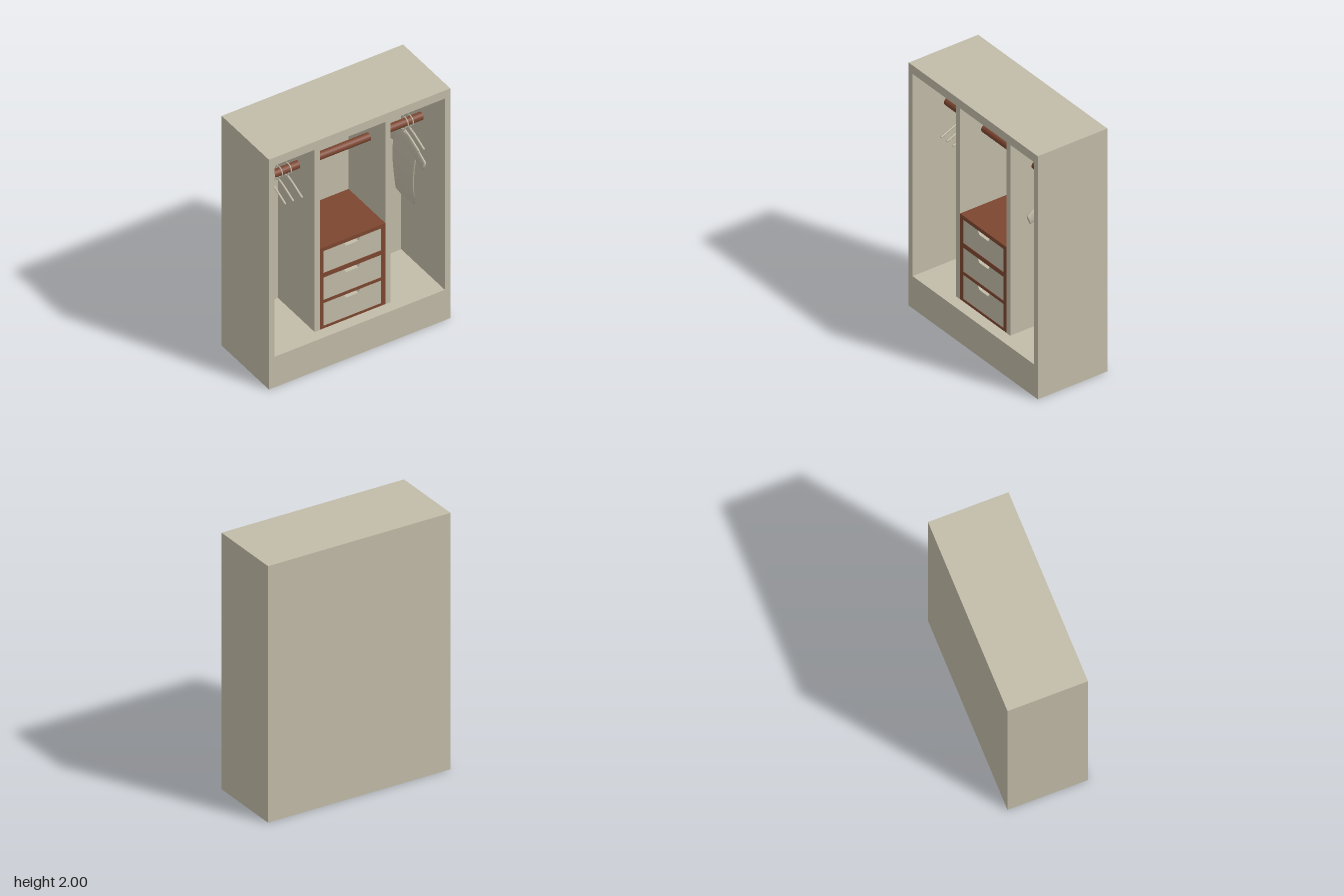
import * as THREE from 'three';

const paint = new THREE.MeshStandardMaterial({ color: 0xc2bba8 });
paint.name = 'beige paint';
const wood = new THREE.MeshStandardMaterial({ color: 0x7d4630 });
wood.name = 'brown wood';
const fabric = new THREE.MeshStandardMaterial({ color: 0xc2bba8, side: THREE.DoubleSide });
fabric.name = 'beige fabric';

function add(parent, name, geometry, material, x = 0, y = 0, z = 0) {
  const mesh = new THREE.Mesh(geometry, material);
  mesh.name = name;
  mesh.position.set(x, y, z);
  parent.add(mesh);
  return mesh;
}

// Box given by its two corners
function block(parent, name, material, x0, x1, y0, y1, z0, z1) {
  return add(parent, name, new THREE.BoxGeometry(x1 - x0, y1 - y0, z1 - z0), material,
    (x0 + x1) / 2, (y0 + y1) / 2, (z0 + z1) / 2);
}

const polygon = (...points) => points.map(([x, y]) => new THREE.Vector2(x, y));
const rect = (x0, x1, y0, y1) => polygon([x0, y0], [x1, y0], [x1, y1], [x0, y1]);

// Plate with openings, extruded from z0 to z1
function plate(parent, name, material, outline, holes, z0, z1) {
  const shape = new THREE.Shape(outline);
  holes.forEach(h => shape.holes.push(new THREE.Path(h)));
  const geometry = new THREE.ExtrudeGeometry(shape, { depth: z1 - z0, bevelEnabled: false });
  return add(parent, name, geometry, material, 0, 0, z0);
}

// Skin over a row of equally divided rings
function loft(rings) {
  const n = rings[0].length, index = [];
  for (let i = 0; i < rings.length - 1; i++) {
    for (let j = 0; j < n; j++) {
      const a = i * n + j, b = i * n + (j + 1) % n;
      index.push(a, b, a + n, b, b + n, a + n);
    }
  }
  const geometry = new THREE.BufferGeometry().setFromPoints(rings.flat());
  geometry.setIndex(index);
  geometry.computeVertexNormals();
  return geometry;
}

function ring(pointAt, n = 16) {
  return Array.from({ length: n }, (_, i) => {
    const a = i / n * Math.PI * 2;
    return pointAt(Math.cos(a), Math.sin(a));
  });
}

// Hanger in the y-z plane, hooked over the rod
function hanger(parent, x) {
  const group = new THREE.Group();
  group.name = 'hanger';
  group.position.set(x, 1.59, 0);
  parent.add(group);
  const hook = [];
  for (let i = 0; i <= 10; i++) {
    const a = Math.PI * (1.1 - 1.6 * i / 10);
    hook.push(new THREE.Vector3(0, 0.043 * Math.sin(a), 0.043 * Math.cos(a)));
  }
  hook.push(new THREE.Vector3(0, -0.075, 0));
  add(group, 'hook', new THREE.TubeGeometry(new THREE.CatmullRomCurve3(hook), 32, 0.005, 6), paint);
  for (const s of [-1, 1]) {
    const arm = new THREE.CatmullRomCurve3([
      new THREE.Vector3(0, -0.07, 0),
      new THREE.Vector3(0, -0.085, s * 0.05),
      new THREE.Vector3(0, -0.14, s * 0.175)]);
    add(group, 'arm', new THREE.TubeGeometry(arm, 12, 0.008, 8), paint);
    add(group, 'armTip', new THREE.SphereGeometry(0.008, 8, 6), paint, 0, -0.14, s * 0.175);
  }
}

// Short-sleeved shirt hanging edge-on to the front
function shirt(parent) {
  const group = new THREE.Group();
  group.name = 'shirt';
  parent.add(group);
  // y, x, half width, half thickness
  const rows = [
    [1.5, 0.572, 0.001, 0.001], [1.5, 0.572, 0.06, 0.008], [1.46, 0.573, 0.13, 0.014],
    [1.38, 0.568, 0.15, 0.016], [1.28, 0.56, 0.14, 0.015], [1.18, 0.556, 0.135, 0.012],
    [1.08, 0.561, 0.13, 0.013], [0.95, 0.573, 0.125, 0.014], [0.95, 0.573, 0.001, 0.001]];
  add(group, 'shirtBody', loft(rows.map(([y, x, w, t]) =>
    ring((c, s) => new THREE.Vector3(x + t * c, y, w * s)))), fabric);
  // z, y, half height, half thickness
  const sleeve = [[0.08, 1.43, 0.055, 0.012], [0.15, 1.405, 0.055, 0.014],
    [0.245, 1.365, 0.04, 0.015], [0.245, 1.365, 0.001, 0.001]];
  for (const side of [-1, 1]) {
    add(group, 'sleeve', loft(sleeve.map(([z, y, h, t]) =>
      ring((c, s) => new THREE.Vector3(0.57 + t * c, y + h * s, side * (z + 0.3 * h * s))))), fabric);
  }
}

export function createModel() {
  const model = new THREE.Group();
  model.name = 'wardrobe';

  // Carcass with plinth, back and dividers
  plate(model, 'carcass', paint, rect(-0.75, 0.75, 0, 2), [rect(-0.705, 0.705, 0.265, 1.93)], -0.255, 0.3);
  block(model, 'backPanel', paint, -0.75, 0.75, 0, 2, -0.3, -0.255);
  block(model, 'rightDivider', paint, -0.315, -0.272, 0.265, 1.93, -0.255, 0.213);
  block(model, 'leftDivider', paint, 0.27, 0.313, 0.265, 1.93, -0.255, 0.213);

  // Hanging rods, one per bay
  for (const [x0, x1] of [[-0.705, -0.315], [-0.272, 0.27], [0.313, 0.705]]) {
    const rod = add(model, 'rod', new THREE.CylinderGeometry(0.03, 0.03, x1 - x0, 24), wood, (x0 + x1) / 2, 1.59, 0);
    rod.rotation.z = Math.PI / 2;
  }

  // Drawer cabinet
  const drawers = [[0.285, 0.485], [0.51, 0.708], [0.745, 0.938]];
  plate(model, 'drawerCabinet', wood, rect(-0.272, 0.27, 0.265, 0.97),
    drawers.map(([y0, y1]) => rect(-0.24, 0.236, y0, y1)), -0.255, 0.212);
  for (const [y0, y1] of drawers) {
    // Front with a finger notch in its upper edge
    plate(model, 'drawerFront', paint, polygon([-0.24, y0], [0.236, y0], [0.236, y1], [0.07, y1],
      [0.05, y1 - 0.033], [-0.052, y1 - 0.033], [-0.072, y1], [-0.24, y1]), [], 0.158, 0.208);
    block(model, 'drawerBody', paint, -0.24, 0.236, y0, y1, -0.25, 0.158);
  }

  // Hangers and clothing
  for (const x of [-0.535, -0.47, -0.397, 0.57, 0.612]) hanger(model, x);
  shirt(model);
  return model;
}
